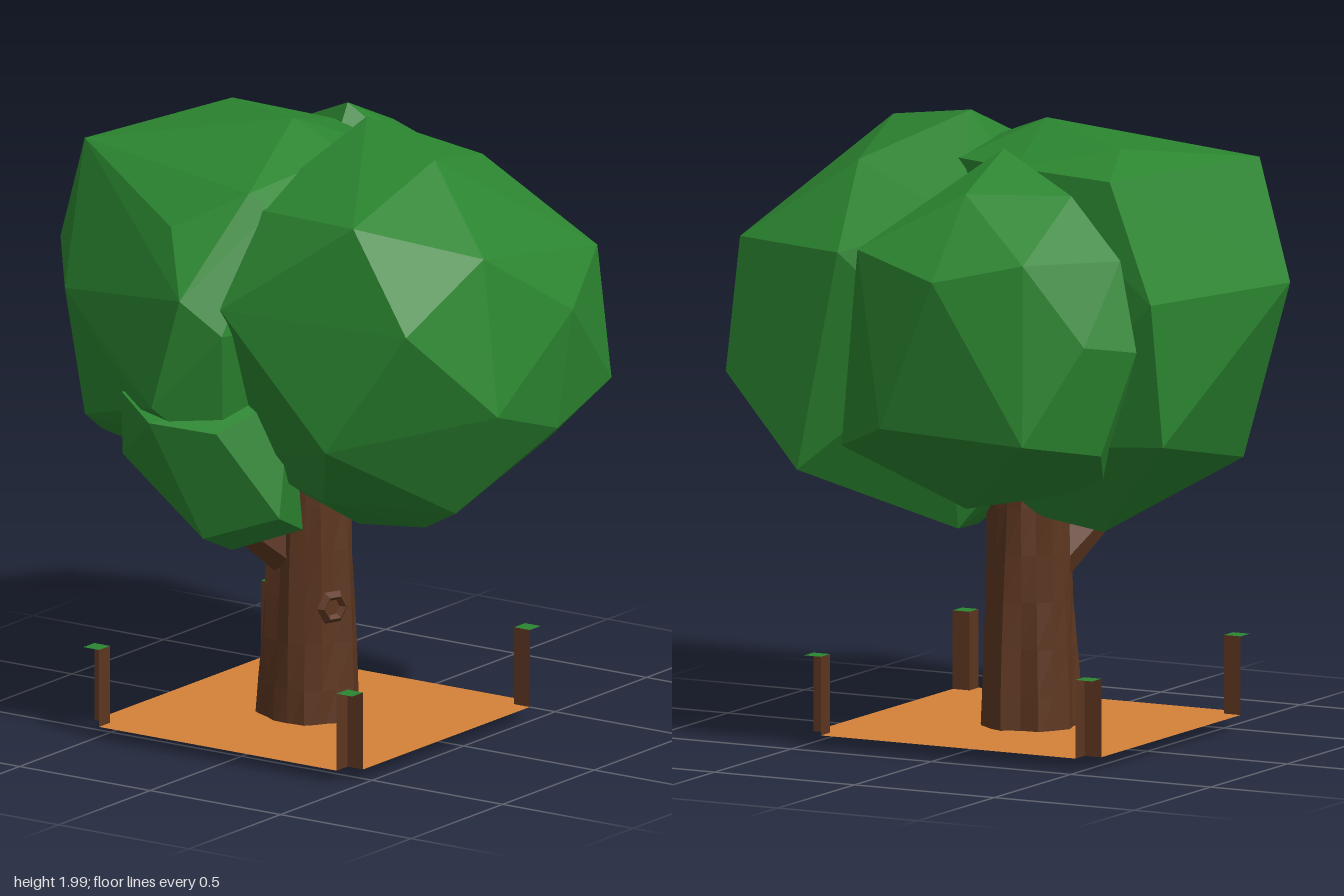
import * as THREE from 'three';
import { ConvexGeometry } from 'three/addons/geometries/ConvexGeometry.js';

const mat = (color, side = THREE.FrontSide) =>
  new THREE.MeshStandardMaterial({ color, flatShading: true, side });

// Corner points of each faceted foliage clump
const frontCorners = [
  [0, 2, 0.13], [-0.56, 1.81, 0.47], [-0.13, 1.94, 0.48], [0.26, 1.86, 0.39], [-0.29, 1.7, 0.78],
  [0.04, 1.48, 0.89], [-0.6, 1.5, 0.7], [0.36, 1.6, 0.76], [0.38, 1.17, 0.8], [-0.34, 1.21, 0.87],
  [0, 1.1, 0.86], [-0.67, 1.1, 0.44], [-0.3, 0.86, 0.68], [0.49, 1.6, 0.34], [0.5, 0.9, 0.48],
  [-0.04, 0.71, 0.38], [0.14, 0.69, 0.1], [-0.48, 0.88, 0.3], [-0.66, 1.5, 0.03], [-0.45, 1.78, 0],
  [0.42, 1.3, 0], [0.3, 1.7, 0], [-0.1, 1.3, -0.35], [-0.4, 0.95, -0.1], [-0.03, 0.68, 0.12],
];
const backCorners = [
  [-0.09, 1.98, -0.09], [0.12, 1.94, -0.47], [0.32, 1.87, -0.54], [-0.33, 1.87, -0.72],
  [0.38, 1.5, -0.72], [-0.22, 1.5, -0.89], [0.32, 1.04, -0.73], [-0.28, 0.92, -0.69],
  [-0.51, 1.43, -0.67], [-0.5, 1.03, -0.6], [-0.6, 1.72, -0.2], [-0.46, 1.83, 0],
  [-0.74, 1.53, -0.07], [-0.75, 1.17, -0.17], [-0.65, 1.25, -0.38], [0.03, 0.7, -0.36],
  [0, 0.74, -0.02], [0.3, 1, -0.2], [0.28, 1.88, -0.18], [0.14, 1.87, 0.1], [-0.2, 1.4, 0.25],
  [-0.6, 0.98, 0], [-0.1, 1.9, 0.12], [-0.45, 1.78, 0.08], [-0.68, 1.42, 0.05],
];
const leftCorners = [
  [0.28, 1.94, -0.14], [0.53, 1.83, -0.14], [0.65, 1.64, -0.41], [0.75, 1.58, -0.14],
  [0.67, 1.65, 0.17], [0.69, 1.07, -0.43], [0.5, 0.99, 0.32], [0.69, 1.09, 0.08],
  [0.4, 1.35, -0.68], [0.56, 1.38, -0.58], [0.45, 1.02, -0.58], [0.27, 0.78, 0],
  [0.4, 1.62, 0.28], [0.35, 1.82, -0.42], [0.36, 1.63, -0.6], [0.1, 0.85, -0.4],
  [-0.1, 1.4, -0.1],
];
const lowerCorners = [
  [-0.75, 1.12, -0.18], [-0.61, 0.73, -0.07], [-0.41, 0.645, -0.1], [-0.2, 0.77, -0.37],
  [-0.67, 1.18, -0.34], [-0.68, 1.1, 0.03], [-0.45, 1.2, 0.15], [-0.55, 0.82, 0.18],
  [-0.28, 0.71, 0.08], [-0.1, 0.8, -0.1], [-0.1, 1.2, -0.1], [-0.58, 0.95, -0.4],
];

export function createModel() {
  const tree = new THREE.Group();
  tree.name = 'tree';
  const leaf = mat(0x2b8530), bark = mat(0x5d3620);
  const leafThin = mat(0x2b8530, THREE.DoubleSide);
  const woodThin = mat(0x5d3620, THREE.DoubleSide);
  const soil = mat(0xd48238, THREE.DoubleSide);

  const add = (name, geometry, material, parent = tree) => {
    const mesh = new THREE.Mesh(geometry, material);
    mesh.name = name;
    parent.add(mesh);
    return mesh;
  };

  // Foliage
  const clump = (name, corners) =>
    add(name, new ConvexGeometry(corners.map((c) => new THREE.Vector3(...c))), leaf);
  clump('frontFoliage', frontCorners);
  clump('backFoliage', backCorners);
  clump('leftFoliage', leftCorners);
  clump('lowerRightFoliage', lowerCorners);

  // Ridged trunk, slightly leaning and flared at the foot
  const trunk = new THREE.CylinderGeometry(0.116, 0.152, 0.89, 17, 6);
  trunk.translate(0, 0.455, 0);
  const p = trunk.attributes.position;
  for (let i = 0; i < p.count; i++) {
    const x = p.getX(i), y = p.getY(i), z = p.getZ(i), a = Math.atan2(z, x);
    const ridge = 1 + 0.05 * Math.sin(5 * a + 2 * y) + 0.06 * Math.sin(8 * a + 4 * y);
    p.setX(i, x * ridge - 0.068);
    p.setZ(i, z * ridge * 1.06 - 0.04);
  }
  trunk.computeVertexNormals();
  add('trunk', trunk, bark);

  // Tapered limb between two points
  const limb = (name, from, to, r0, r1, sides) => {
    const a = new THREE.Vector3(...from), b = new THREE.Vector3(...to);
    const dir = b.clone().sub(a);
    const mesh = add(name, new THREE.CylinderGeometry(r1, r0, dir.length(), sides), bark);
    mesh.position.copy(a).add(b).multiplyScalar(0.5);
    mesh.quaternion.setFromUnitVectors(new THREE.Vector3(0, 1, 0), dir.normalize());
  };
  limb('branch', [-0.1, 0.57, -0.08], [-0.35, 0.78, -0.22], 0.09, 0.05, 7);

  // Knot on the front of the trunk
  const knot = add('knot', new THREE.TorusGeometry(0.04, 0.018, 4, 6), bark);
  knot.position.set(-0.14, 0.43, 0.096);
  knot.rotation.y = -0.4;
  limb('knotCore', [-0.13, 0.43, 0.06], [-0.142, 0.43, 0.1], 0.035, 0.03, 6);

  // Soil sheet with its corners notched out for the posts
  const cx = -0.075, cz = -0.028, h = 0.515, w = 0.06, n = h - w, y0 = 0.05, y1 = 0.3;
  const outline = [];
  for (const [sx, sy] of [[1, 1], [-1, 1], [-1, -1], [1, -1]]) {
    const steps = [[sx * h, sy * n], [sx * n, sy * n], [sx * n, sy * h]];
    if (sx * sy < 0) steps.reverse();
    outline.push(...steps.map(([x, y]) => new THREE.Vector2(x, y)));
  }
  const sheet = add('soil', new THREE.ShapeGeometry(new THREE.Shape(outline)), soil);
  sheet.rotation.x = -Math.PI / 2;
  sheet.position.set(cx, y0, cz);

  // Corner posts: two inner walls and a green top each
  for (const sx of [-1, 1]) for (const sz of [-1, 1]) {
    const post = new THREE.Group();
    post.name = 'cornerPost';
    post.position.set(cx + sx * (h - w / 2), (y0 + y1) / 2, cz + sz * (h - w / 2));
    tree.add(post);
    const wall = new THREE.PlaneGeometry(w, y1 - y0);
    const wallZ = add('postWall', wall, woodThin, post);
    wallZ.position.z = -sz * w / 2;
    if (sz > 0) wallZ.rotation.y = Math.PI;
    const wallX = add('postWall', wall, woodThin, post);
    wallX.position.x = -sx * w / 2;
    wallX.rotation.y = -sx * Math.PI / 2;
    const cap = add('postTop', new THREE.PlaneGeometry(w, w), leafThin, post);
    cap.rotation.x = -Math.PI / 2;
    cap.position.y = (y1 - y0) / 2;
  }
  return tree;
}
